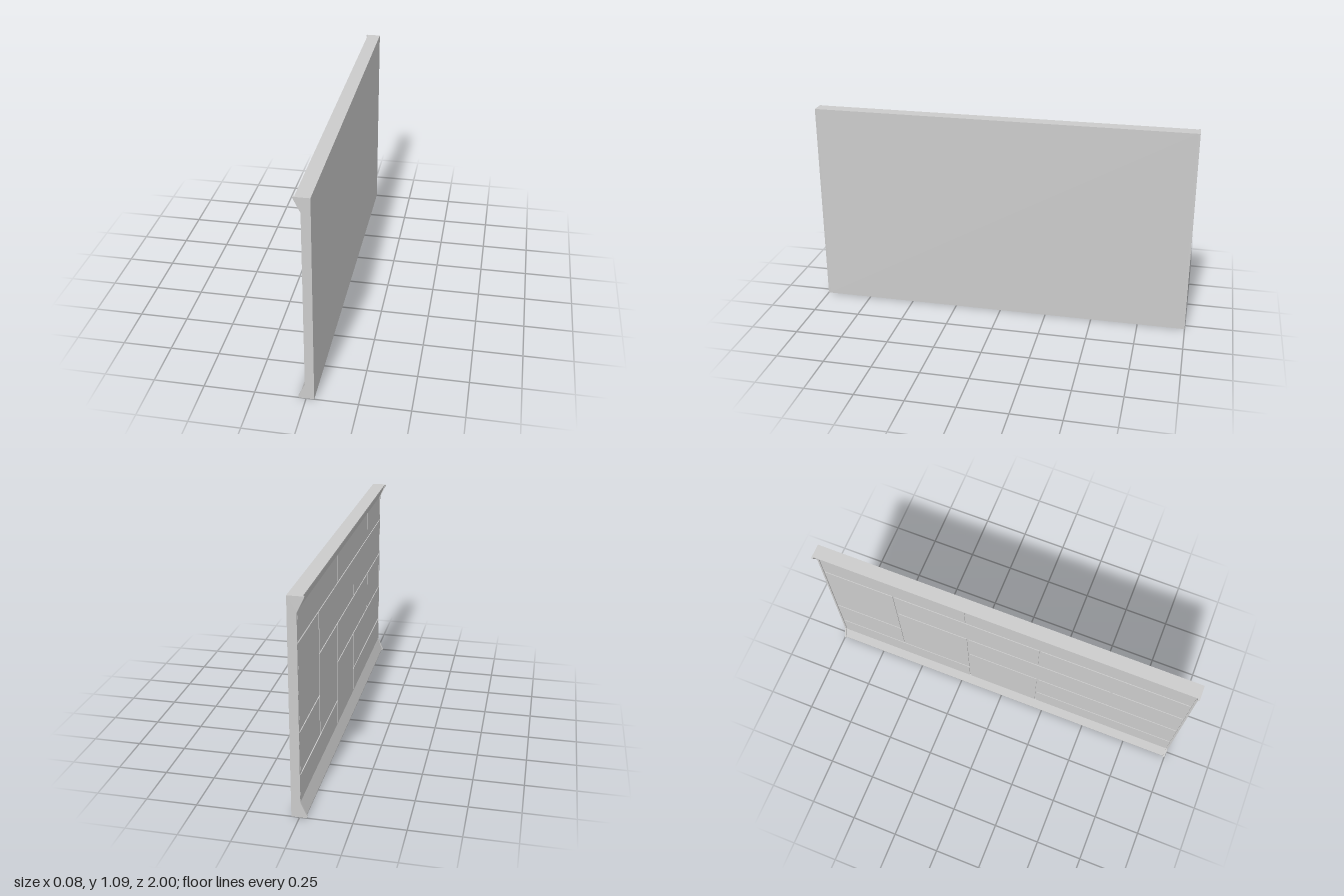
import * as THREE from 'three';

const H = 1.085, BACK = 0.039, FACE = -0.005, FLOOR = 0.0, CAP = 0.01;
const material = new THREE.MeshStandardMaterial({ color: 0xcccccc, flatShading: true });

// Extrudes an x-y outline along z from z0 to z1
function extrudeZ(name, points, z0, z1) {
  const shape = new THREE.Shape(points.map(([x, y]) => new THREE.Vector2(x, y)));
  const geometry = new THREE.ExtrudeGeometry(shape, { depth: z1 - z0, bevelEnabled: false });
  geometry.translate(0, 0, z0);
  const mesh = new THREE.Mesh(geometry, material);
  mesh.name = name;
  return mesh;
}

function box(name, x0, x1, y0, y1, z0, z1) {
  const geometry = new THREE.BoxGeometry(x1 - x0, y1 - y0, z1 - z0);
  geometry.translate((x0 + x1) / 2, (y0 + y1) / 2, (z0 + z1) / 2);
  const mesh = new THREE.Mesh(geometry, material);
  mesh.name = name;
  return mesh;
}

export function createModel() {
  const group = new THREE.Group();
  group.name = 'wallPanel';
  const inner = 1 - CAP;

  // Flat backing slab, whose face is the bottom of the joints
  group.add(box('backingSlab', FLOOR, BACK, 0, H, -inner, inner));

  // End caps carry the full flared profile
  const profile = [
    [BACK, 0], [BACK, H], [-0.039, H], [-0.039, H - 0.006], [FACE, 1.01],
    [FACE, 0.08], [-0.037, 0.01], [-0.035, 0],
  ];
  group.add(extrudeZ('rearEndCap', profile, -1, -inner));
  group.add(extrudeZ('frontEndCap', profile, inner, 1));

  // Flared trims between the caps, set slightly back from them
  group.add(extrudeZ('topTrim',
    [[FLOOR, 1.01], [FLOOR, H], [-0.032, H], [-0.032, H - 0.006], [FACE + 0.002, 1.01]], -inner, inner));
  group.add(extrudeZ('bottomTrim',
    [[FLOOR, 0], [FLOOR, 0.08], [FACE + 0.002, 0.08], [-0.031, 0.01], [-0.029, 0]], -inner, inner));

  // Tiles on a 5 x 5 grid: first column, end column, first row, end row
  const tiles = [
    [0, 2, 0, 1], [2, 3, 0, 2], [3, 5, 0, 1], [3, 5, 1, 2],
    [0, 1, 1, 2], [1, 2, 1, 3], [2, 4, 2, 3], [4, 5, 2, 3],
    [0, 1, 2, 4], [1, 3, 3, 4], [3, 5, 3, 4],
    [0, 2, 4, 5], [2, 4, 4, 5], [4, 5, 4, 5],
  ];
  const w = 2 / 5, h = H / 5, gap = 0.005;
  tiles.forEach(([c0, c1, r0, r1], i) => {
    const y0 = r0 === 0 ? 0.05 : r0 * h + gap;
    const y1 = r1 === 5 ? 1.04 : r1 * h - gap;
    const z0 = c0 === 0 ? -inner + gap : -1 + c0 * w + gap;
    const z1 = c1 === 5 ? inner - gap : -1 + c1 * w - gap;
    group.add(box(`tile${i + 1}`, FACE + 0.001, FLOOR + 0.002, y0, y1, z0, z1));
  });

  return group;
}
